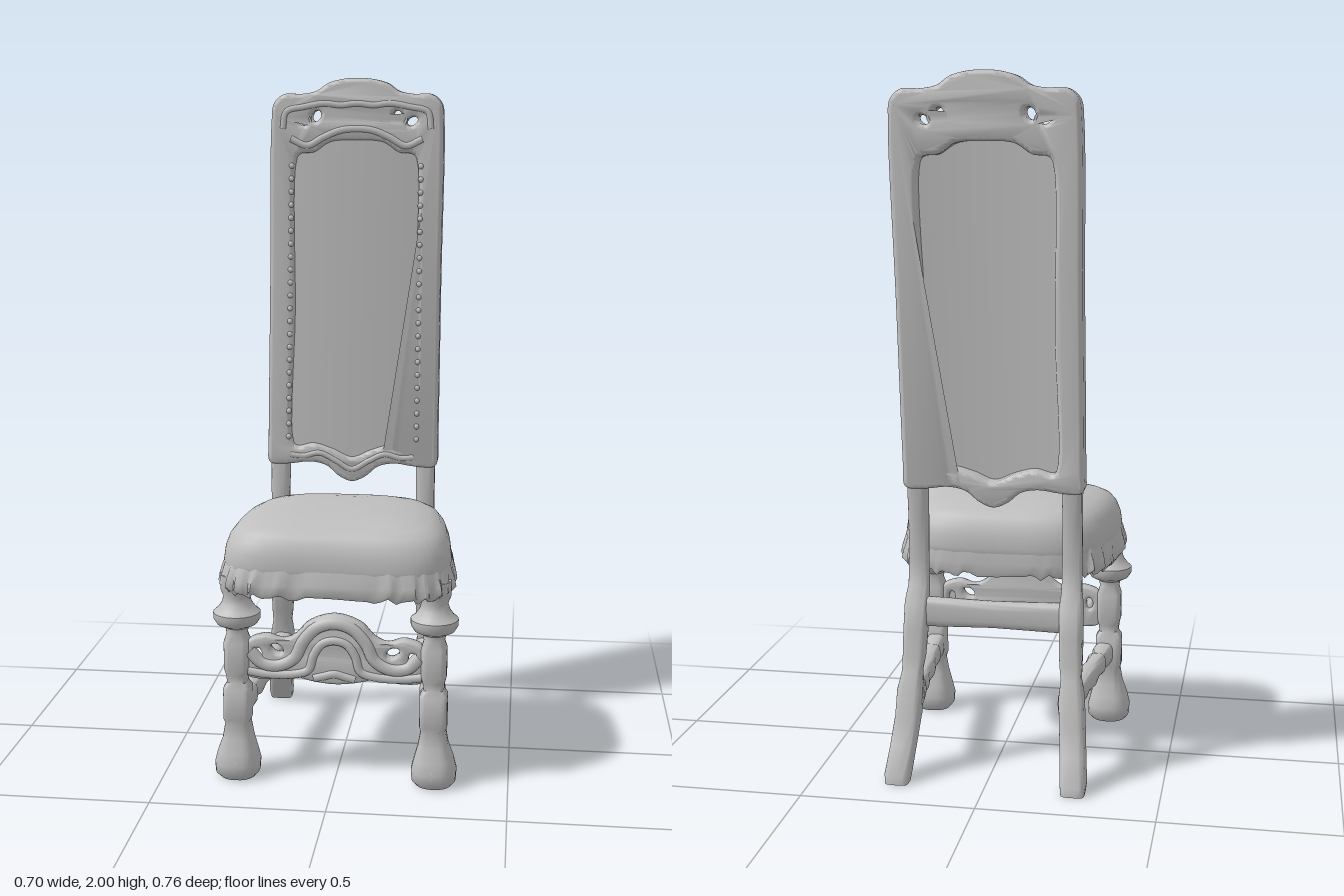
import * as THREE from 'three';
import { toCreasedNormals } from 'three/addons/utils/BufferGeometryUtils.js';

const V = (x, y, z = 0) => new THREE.Vector3(x, y, z);
const spow = (v, e) => Math.sign(v) * Math.abs(v) ** e;

// Skin over a stack of rings listed from bottom to top, closed at both ends
function skin(rings, crease = 0.75) {
  const n = rings[0].length;
  const cap = (r) => {
    const c = r.reduce((s, p) => s.add(p), V(0, 0)).divideScalar(n);
    return r.map(() => c.clone());
  };
  const all = [cap(rings[0]), ...rings, cap(rings[rings.length - 1])];
  const index = [];
  for (let i = 0; i < all.length - 1; i++) {
    for (let j = 0; j < n; j++) {
      const a = i * n + j, b = i * n + (j + 1) % n;
      if (i > 0) index.push(a, a + n, b);
      if (i === 0) index.push(a, a + n, b + n);
      else if (i < all.length - 2) index.push(b, a + n, b + n);
    }
  }
  const g = new THREE.BufferGeometry().setFromPoints(all.flat());
  g.setIndex(index);
  return toCreasedNormals(g, crease);
}

// Sections are [x, y, z, halfWidth, halfDepth, exponent]; 1 is round, 0.4 is nearly square
function loft(sections, seg = 24) {
  return skin(sections.map(([x, y, z, w, d, e = 0.45]) =>
    Array.from({ length: seg }, (_, j) => {
      const a = (j / seg) * Math.PI * 2;
      return V(x + w * spow(Math.cos(a), e), y, z + d * spow(Math.sin(a), e));
    })));
}

// Smooth closed outline from its right half, listed from bottom centre to top centre
function outline(half, n = 160) {
  const left = half.filter((p) => p[0] > 0).reverse().map(([x, y]) => [-x, y]);
  const curve = new THREE.CatmullRomCurve3([...half, ...left].map(([x, y]) => V(x, y)), true, 'centripetal');
  return curve.getPoints(n).slice(0, -1).map((p) => new THREE.Vector2(p.x, p.y));
}

function ellipseHole(x, y, rx, ry, rot) {
  return new THREE.Path().absellipse(x, y, rx, ry, 0, Math.PI * 2, false, rot);
}

// Plate centred on z = 0 with a soft edge
function plate(shape, thick, bevel) {
  const depth = thick - 2 * bevel;
  const g = new THREE.ExtrudeGeometry(shape, {
    depth, bevelThickness: bevel, bevelSize: bevel, bevelOffset: -bevel, bevelSegments: 4, curveSegments: 10,
  });
  g.translate(0, 0, -depth / 2);
  return toCreasedNormals(g, 0.8);
}

// Lean the upright back: depth follows height
const backZ = (y) => -0.187 - (y - 0.84) * 0.123;
function lean(g) {
  const p = g.attributes.position;
  for (let i = 0; i < p.count; i++) p.setZ(i, p.getZ(i) + backZ(p.getY(i)));
  return g;
}

// Moulding along a symmetric path given by its right half from the centre outward
function moulding(half, r, z) {
  const pts = [...half.slice(1).reverse().map(([x, y]) => V(-x, y, z)), ...half.map(([x, y]) => V(x, y, z))];
  return new THREE.TubeGeometry(new THREE.CatmullRomCurve3(pts), 60, r, 8);
}

export function createModel() {
  const chair = new THREE.Group();
  chair.name = 'chair';
  const grey = new THREE.MeshStandardMaterial({ color: 0xbfbfbf });
  grey.name = 'plain grey';
  const add = (name, geo) => {
    const m = new THREE.Mesh(geo, grey);
    m.name = name;
    chair.add(m);
    return m;
  };

  // Back frame with shaped crest, pierced corners and window
  const frame = new THREE.Shape(outline([
    [0, 0.785], [0.04, 0.8], [0.08, 0.832], [0.13, 0.842], [0.19, 0.835], [0.25, 0.835], [0.26, 0.845], [0.261, 0.9],
    [0.261, 1.4], [0.262, 1.87], [0.255, 1.925], [0.225, 1.952], [0.17, 1.953], [0.125, 1.962], [0.09, 1.985], [0.04, 1.998], [0, 2],
  ], 220));
  frame.holes.push(new THREE.Path(outline([
    [0, 0.862], [0.06, 0.885], [0.12, 0.9], [0.17, 0.89], [0.183, 0.9], [0.183, 1.3], [0.183, 1.76], [0.17, 1.775],
    [0.13, 1.78], [0.08, 1.81], [0, 1.815],
  ])));
  for (const s of [-1, 1]) {
    frame.holes.push(ellipseHole(s * 0.167, 1.872, 0.018, 0.012, s * 0.5));
    frame.holes.push(ellipseHole(s * 0.125, 1.887, 0.014, 0.018, s * 0.6));
  }
  add('backFrame', lean(plate(frame, 0.078, 0.014)));

  // Upholstered panel set toward the front of the frame
  const panel = new THREE.BoxGeometry(0.4, 0.97, 0.02, 16, 1, 1);
  const pp = panel.attributes.position;
  for (let i = 0; i < pp.count; i++) pp.setZ(i, pp.getZ(i) + 0.008 + 0.012 * (1 - (pp.getX(i) / 0.2) ** 2));
  panel.translate(0, 1.335, 0);
  panel.computeVertexNormals();
  add('backPanel', lean(toCreasedNormals(panel, 0.5)));

  // Carved mouldings on the crest and lower rail
  add('crestMoulding', lean(moulding([[0, 1.85], [0.05, 1.845], [0.1, 1.825], [0.15, 1.8], [0.2, 1.82]], 0.012, 0.034)));
  add('crestScroll', lean(moulding([[0, 1.925], [0.05, 1.92], [0.1, 1.925], [0.16, 1.915], [0.215, 1.9], [0.225, 1.85]], 0.011, 0.034)));
  add('lowerMoulding', lean(moulding([[0, 0.825], [0.05, 0.85], [0.1, 0.872], [0.15, 0.862], [0.19, 0.865]], 0.01, 0.034)));

  // Upholstery tacks down both sides of the panel
  for (const s of [-1, 1]) {
    for (let i = 0; i < 22; i++) {
      const y = 0.92 + i * 0.039;
      const tack = add('tack', new THREE.SphereGeometry(0.009, 8, 6));
      tack.position.set(s * 0.197, y, backZ(y) + 0.036);
    }
  }

  // Cushion outline: rounded trapezoid with a slightly hollow front edge
  const seatPoint = (a, k, y) => {
    const u = spow(Math.cos(a), 0.5), v = spow(Math.sin(a), 0.5);
    const hw = 0.322 + 0.026 * v - 0.014 * v * v;
    const bow = v > 0 ? 0.02 * u * u * v : 0;
    return V(u * hw * k, y, 0.1 + (0.262 * v + bow) * k);
  };
  const N = 144;
  const seatRing = (k, y, ruffle = 0, rag = 0) => Array.from({ length: N }, (_, j) => {
    const a = (j / N) * Math.PI * 2;
    const fade = Math.sin(a) < -0.6 ? 0.15 : 1;
    const w = Math.sin(a * 29) * 0.6 + Math.sin(a * 47 + 1) * 0.4;
    return seatPoint(a, k + ruffle * fade * (1 + w * 0.8), y + rag * w);
  });
  add('seatCushion', skin([
    [0.9, 0.6], [0.985, 0.615], [0.995, 0.65], [0.98, 0.685], [0.945, 0.715], [0.89, 0.738], [0.8, 0.753],
    [0.65, 0.765], [0.45, 0.772], [0.2, 0.775],
  ].map(([k, y]) => seatRing(k, y)), 1.2));
  add('seatFringe', skin([
    seatRing(0.9, 0.605), seatRing(0.94, 0.585, 0.01, 0.006), seatRing(0.98, 0.569, 0.025, 0.01),
    seatRing(0.995, 0.58, 0.034, 0.008), seatRing(0.995, 0.605, 0.026, 0.004), seatRing(0.99, 0.635, 0.012),
    seatRing(0.98, 0.66),
  ], 1.0));

  for (const s of [-1, 1]) {
    // Front leg: scroll foot, square blocks, turned cap
    const fx = s * 0.284;
    add('frontLeg', loft([
      [0, 0.052, 0.9], [0.015, 0.064, 0.8], [0.045, 0.066, 0.75], [0.08, 0.057, 0.7], [0.12, 0.044, 0.6], [0.165, 0.036, 0.5],
      [0.178, 0.04, 0.4], [0.27, 0.04, 0.4], [0.288, 0.03, 0.6], [0.31, 0.032, 0.5], [0.33, 0.037, 0.45], [0.41, 0.037, 0.45],
      [0.435, 0.03, 0.8], [0.452, 0.034, 1], [0.464, 0.058, 1], [0.48, 0.068, 1], [0.498, 0.068, 1], [0.508, 0.056, 1],
      [0.525, 0.044, 1], [0.545, 0.038, 1], [0.565, 0.046, 1], [0.61, 0.046, 1],
    ].map(([y, r, e]) => [fx + (y < 0.1 ? s * 0.002 : 0), y, 0.274, r, r, e])));

    // Toes on the front foot
    for (const t of [-1, 0, 1]) {
      const toe = add('toe', new THREE.SphereGeometry(0.018, 12, 8));
      toe.scale.set(0.9, 1.9, 0.9);
      toe.position.set(fx + t * 0.032, 0.038, 0.324 - Math.abs(t) * 0.012);
    }

    // Rear leg rising into the back post
    add('rearLeg', loft([
      [0.254, 0, -0.352, 0.034, 0.032], [0.254, 0.025, -0.343, 0.037, 0.038], [0.247, 0.1, -0.302, 0.036, 0.038],
      [0.24, 0.175, -0.268, 0.036, 0.04], [0.236, 0.25, -0.258, 0.036, 0.038], [0.233, 0.3, -0.244, 0.029, 0.027],
      [0.23, 0.34, -0.232, 0.032, 0.03], [0.228, 0.42, -0.217, 0.034, 0.034], [0.226, 0.5, -0.204, 0.034, 0.034],
      [0.225, 0.545, -0.185, 0.029, 0.025], [0.225, 0.62, -0.179, 0.028, 0.023], [0.225, 0.75, -0.181, 0.028, 0.026],
      [0.225, 0.87, -0.19, 0.029, 0.031],
    ].map(([x, ...rest]) => [s * x, ...rest])));

    // Side stretcher, shaped along its length
    const side = add('sideStretcher', loft([
      [-0.26, 0.034], [-0.2, 0.034], [-0.17, 0.024], [-0.13, 0.033], [-0.07, 0.028], [0, 0.034], [0.07, 0.028],
      [0.13, 0.033], [0.17, 0.024], [0.2, 0.034], [0.26, 0.036],
    ].map(([t, r]) => [s * (0.25 - t * 0.09), t, 0.225 + 0.02 * t, r * 0.85, r, 0.6])));
    side.rotation.x = -Math.PI / 2;
  }

  // Rear rail between the back legs
  const rail = add('rearRail', loft([[-0.23, 0.044], [-0.15, 0.042], [0, 0.038], [0.15, 0.042], [0.23, 0.044]]
    .map(([t, h]) => [0.468, t, -0.207, h, 0.024, 0.6])));
  rail.rotation.z = Math.PI / 2;

  // Carved front stretcher with pierced scrolls and arch
  const apron = new THREE.Shape(outline([
    [0, 0.292], [0.06, 0.298], [0.13, 0.312], [0.19, 0.3], [0.255, 0.31], [0.262, 0.36], [0.255, 0.41], [0.2, 0.432],
    [0.15, 0.42], [0.115, 0.435], [0.075, 0.475], [0, 0.498],
  ]));
  for (const s of [-1, 1]) {
    apron.holes.push(ellipseHole(s * 0.167, 0.392, 0.02, 0.014, s * 0.5));
    apron.holes.push(ellipseHole(s * 0.222, 0.375, 0.011, 0.018, 0));
  }
  const carving = [
    plate(apron, 0.044, 0.01),
    moulding([[0, 0.476], [0.05, 0.462], [0.09, 0.42], [0.115, 0.37], [0.16, 0.345], [0.21, 0.35], [0.245, 0.385]], 0.02, 0.016),
    moulding([[0, 0.425], [0.035, 0.415], [0.06, 0.38], [0.075, 0.335], [0.12, 0.32], [0.2, 0.318], [0.25, 0.325]], 0.014, 0.018),
    moulding([[0, 0.325], [0.03, 0.318], [0.06, 0.31]], 0.014, 0.016),
  ];
  for (const g of carving) add('frontStretcher', g).position.z = 0.272;

  return chair;
}
